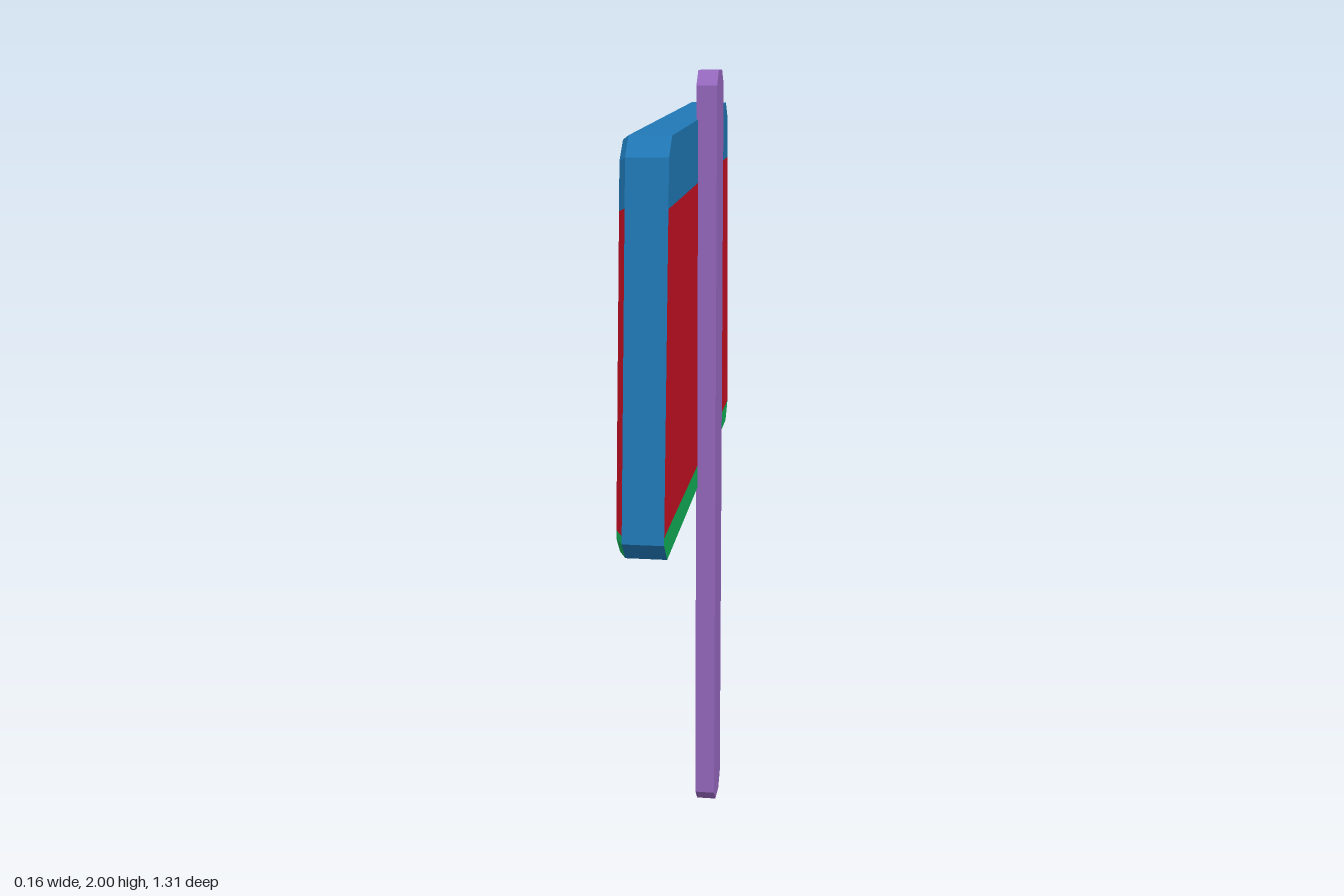
import * as THREE from 'three';

const mat = (name, color) => {
  const m = new THREE.MeshStandardMaterial({ color });
  m.name = name;
  return m;
};

// Flat-shaded mesh from convex polygons, each a list of [x, y, z] corners
function facets(name, material, polygons) {
  const pos = [];
  for (const p of polygons)
    for (let i = 1; i < p.length - 1; i++) pos.push(...p[0], ...p[i], ...p[i + 1]);
  const geo = new THREE.BufferGeometry();
  geo.setAttribute('position', new THREE.Float32BufferAttribute(pos, 3));
  geo.computeVertexNormals();
  const mesh = new THREE.Mesh(geo, material);
  mesh.name = name;
  return mesh;
}

export function createModel() {
  const blue = mat('blue', 0x1f77b4);
  const red = mat('red', 0xc40f23);
  const green = mat('green', 0x11ad57);
  const purple = mat('purple', 0x9467bd);
  const group = new THREE.Group();

  // Panel outline as [z, y], counterclockwise seen from +x, with band junctions included
  const outline = [
    [0.657, 0.953], [0.61, 0.904], [-0.61, 0.944], [-0.657, 0.99],
    [-0.657, 0.995], [-0.625, 1.737], [-0.62, 1.847], [-0.57, 1.895],
    [0.51, 1.87], [0.56, 1.825], [0.572, 1.713], [0.655, 0.972],
  ];
  const n = outline.length;
  const ring = (x, s) => outline.map(([z, y]) => [x, 1.4 + (y - 1.4) * s, z * s]);
  const face = ring(0.032, 1);
  const edge = ring(-0.067, 1);
  const back = ring(-0.082, 0.977);
  const strip = (a, b, i) => [a[i], b[i], b[(i + 1) % n], a[(i + 1) % n]];

  // Plain rim around the panel
  const panel = new THREE.Group();
  panel.name = 'signPanel';
  panel.add(facets('panelRim', blue, outline.map((_, i) => strip(face, edge, i))));

  // Coloured bands: both faces plus the bevelled edge at the back
  const bands = [
    ['topBand', blue, [5, 6, 7, 8, 9, 10], [5, 6, 7, 8, 9]],
    ['middleBand', red, [4, 5, 10, 11], [4, 10]],
    ['bottomBand', green, [11, 0, 1, 2, 3, 4], [11, 0, 1, 2, 3]],
  ];
  for (const [name, material, corners, bevels] of bands) {
    panel.add(facets(name, material, [
      corners.map((i) => face[i]),
      corners.map((i) => back[i]).reverse(),
      ...bevels.map((i) => strip(edge, back, i)),
    ]));
  }
  group.add(panel);

  // Stick with clipped corners, extruded then turned so its depth runs along x
  const [z0, z1, c] = [-0.083, 0.06, 0.036];
  const shape = new THREE.Shape([
    [-z1 + c, 0], [-z0 - c, 0], [-z0, c], [-z0, 2 - c],
    [-z0 - c, 2], [-z1 + c, 2], [-z1, 2 - c], [-z1, c],
  ].map(([u, v]) => new THREE.Vector2(u, v)));
  const stickGeo = new THREE.ExtrudeGeometry(shape, { depth: 0.052, bevelEnabled: false });
  stickGeo.rotateY(Math.PI / 2).translate(0.028, 0, 0);
  const stick = new THREE.Mesh(stickGeo, purple);
  stick.name = 'stick';
  group.add(stick);

  return group;
}
